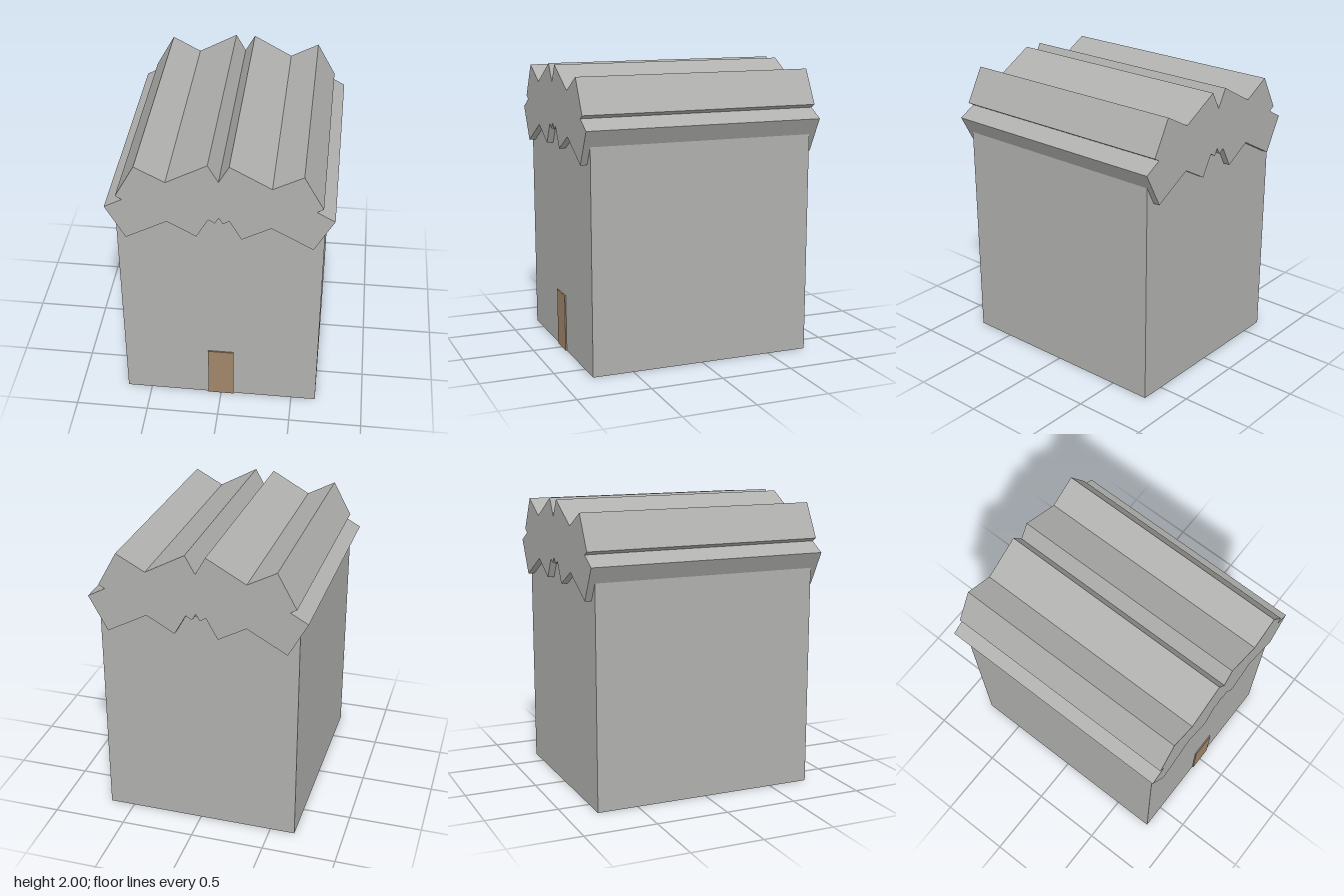
import * as THREE from 'three';

export function createModel() {
  const model = new THREE.Group();
  const stone = new THREE.MeshStandardMaterial({ color: 0xb0b0ae });
  stone.name = 'grey stone';
  const wood = new THREE.MeshStandardMaterial({ color: 0xa0866a });
  wood.name = 'brown wood';

  const add = (name, geometry, material, y = 0, z = 0) => {
    const mesh = new THREE.Mesh(geometry, material);
    mesh.name = name;
    mesh.position.set(0, y, z);
    model.add(mesh);
  };

  // Walls
  const wallTop = 1.565, wallDepth = 1.566;
  add('walls', new THREE.BoxGeometry(1.34, wallTop, wallDepth), stone, wallTop / 2);

  // Door, a thin plate on the front wall
  add('door', new THREE.BoxGeometry(0.178, 0.4, 0.009), wood, 0.2, wallDepth / 2 + 0.0045);

  // Roof of crossed slabs: half outline from bottom centre round to top centre
  const half = [
    [0, 1.605], [0.026, 1.56], [0.067, 1.585], [0.145, 1.445], [0.333, 1.55],
    [0.603, 1.402], [0.73, 1.636], [0.612, 1.701], [0.654, 1.725],
    [0.526, 1.957], [0.333, 1.853], [0.067, 2], [0, 1.88],
  ];
  const mirrored = half.slice(1, -1).reverse().map(([x, y]) => [-x, y]);
  const outline = new THREE.Shape([...half, ...mirrored].map(([x, y]) => new THREE.Vector2(x, y)));
  const roofDepth = 1.656;
  const roof = new THREE.ExtrudeGeometry(outline, { depth: roofDepth, bevelEnabled: false });
  add('roof', roof, stone, 0, -roofDepth / 2);

  return model;
}
